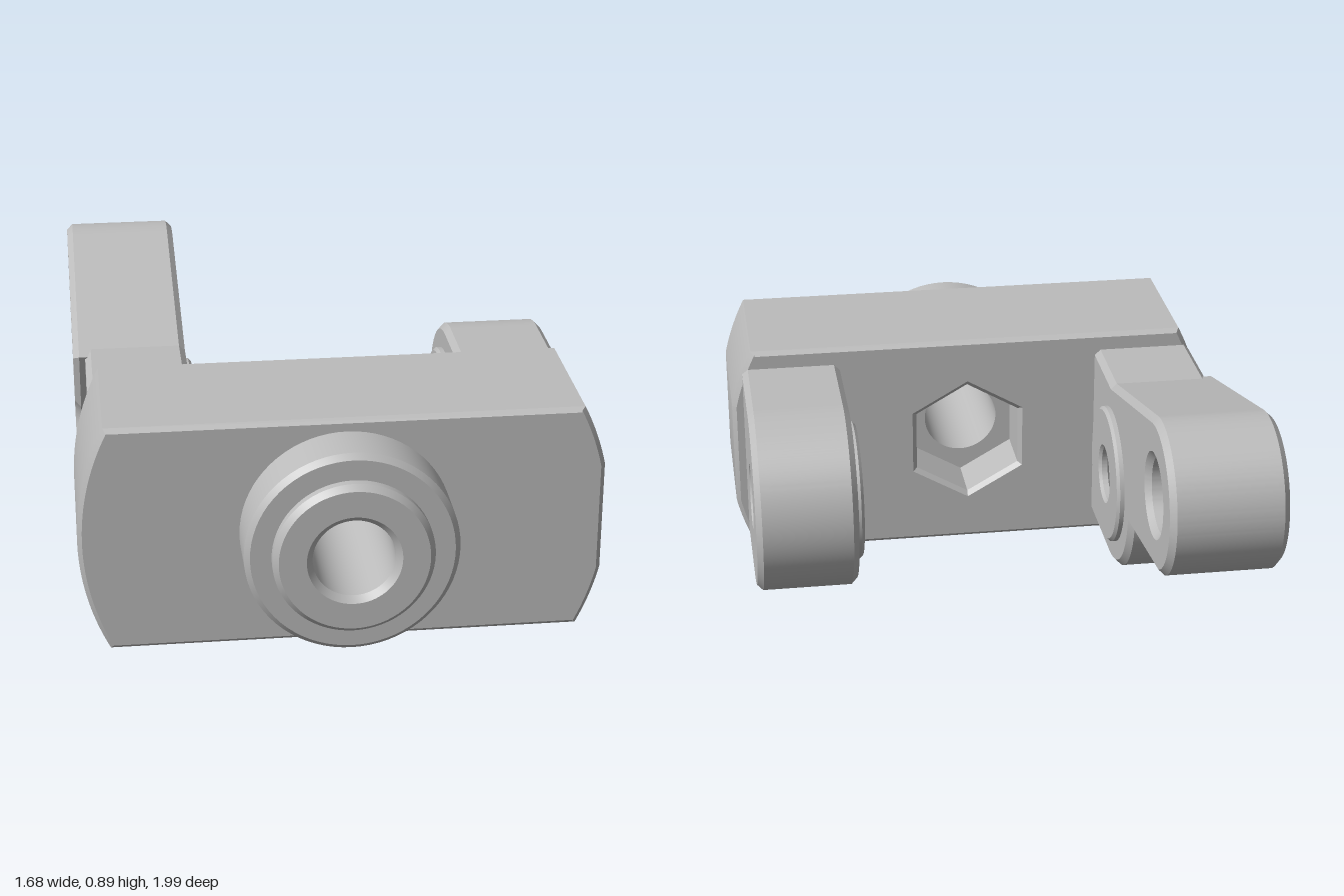
import * as THREE from 'three';
import { toCreasedNormals } from 'three/addons/utils/BufferGeometryUtils.js';

const CY = 0.39;        // height of the bore and pivot axis
const PIVOT = 0.07;     // pivot distance behind the origin
const CREASE = 0.45;

const metal = new THREE.MeshStandardMaterial({ color: 0xbcbcbc });
metal.name = 'grey metal';

function addMesh(parent, name, geometry) {
  const mesh = new THREE.Mesh(toCreasedNormals(geometry, CREASE), metal);
  mesh.name = name;
  parent.add(mesh);
  return mesh;
}

// Chamfered plate between two depths; the shape is the full outline
function slab(shape, from, to, bevel) {
  const geometry = new THREE.ExtrudeGeometry(shape, {
    depth: to - from - 2 * bevel, bevelEnabled: true, bevelThickness: bevel,
    bevelSize: bevel, bevelOffset: -bevel, bevelSegments: 1, curveSegments: 48,
  });
  return geometry.translate(0, 0, from + bevel);
}

// Plate drawn in (distance to the rear, height) and extruded along x
const sideSlab = (shape, from, to, bevel) => slab(shape, from, to, bevel).rotateY(Math.PI / 2);

const circle = (x, y, r) => new THREE.Path().absarc(x, y, r, 0, Math.PI * 2, true);

// Lug with a rounded end and pivot hole
function lugShape() {
  const s = new THREE.Shape();
  s.moveTo(-0.3, CY - 0.32);
  s.lineTo(PIVOT, CY - 0.32);
  s.absarc(PIVOT, CY, 0.32, -Math.PI / 2, Math.PI / 2, false);
  s.lineTo(-0.3, CY + 0.32);
  s.closePath();
  s.holes.push(circle(PIVOT, CY, 0.09));
  return s;
}

// Tapered lever, cut by a slanted step that runs around the pivot hole
function leverShape() {
  const endU = 0.74, endY = 0.64, r1 = 0.32, r2 = 0.255;
  const du = endU - PIVOT, dy = endY - CY;
  const tilt = Math.atan2(dy, du);
  const taper = Math.asin((r1 - r2) / Math.hypot(du, dy));
  const top = tilt + Math.PI / 2 - taper, bottom = tilt - Math.PI / 2 + taper;
  const notch = Math.acos(r1 * Math.sin(taper) / 0.09);
  const s = new THREE.Shape();
  s.moveTo(PIVOT + r1 * Math.cos(bottom), CY + r1 * Math.sin(bottom));
  s.absarc(endU, endY, r2, bottom, top, false);
  s.lineTo(PIVOT + r1 * Math.cos(top), CY + r1 * Math.sin(top));
  s.absarc(PIVOT, CY, 0.09, tilt + notch, tilt - notch, true);
  s.closePath();
  s.holes.push(circle(endU, endY, 0.122));
  return s;
}

function padShape() {
  const s = new THREE.Shape();
  s.absarc(PIVOT, CY, 0.235, 0, Math.PI * 2, false);
  s.holes.push(circle(PIVOT, CY, 0.092));
  return s;
}

// Block with arc-shaped ends, a flat on one end and a hexagonal pocket
function bodyShape() {
  const R = 0.85, cx = 0.01, cy = 0.386;
  const corner = Math.asin(cy / R), flat = Math.acos((0.84 - cx) / R);
  const s = new THREE.Shape();
  s.absarc(cx, cy, R, -corner, -flat, false);
  s.absarc(cx, cy, R, flat, corner, false);
  s.absarc(cx, cy, R, Math.PI - corner, Math.PI + corner, false);
  s.closePath();
  const hex = [];
  for (let i = 0; i < 6; i++) {
    const a = Math.PI / 2 - i * Math.PI / 3;
    hex.push(new THREE.Vector2(cx + 0.21 * Math.cos(a), CY + 0.21 * Math.sin(a)));
  }
  s.holes.push(new THREE.Path(hex));
  return s;
}

export function createModel() {
  const model = new THREE.Group();
  model.name = 'pivotBracket';

  addMesh(model, 'body', slab(bodyShape(), 0.27, 0.78, 0.015));

  // Stepped boss with its bore and the seat inside the pocket
  const profile = [
    [0.34, 0.7], [0.34, 0.937], [0.322, 0.955], [0.255, 0.955], [0.255, 0.98], [0.237, 1],
    [0.15, 1], [0.13, 0.98], [0.13, 0.47], [0.215, 0.47],
  ].map(([r, z]) => new THREE.Vector2(r, z));
  const boss = new THREE.LatheGeometry(profile, 72).rotateX(Math.PI / 2);
  addMesh(model, 'boss', boss).position.set(0.01, CY, 0);

  // Short arm
  const shortArm = new THREE.Group();
  shortArm.name = 'shortArm';
  addMesh(shortArm, 'shortLug', sideSlab(lugShape(), 0.46, 0.8, 0.02));
  addMesh(shortArm, 'shortArmPad', sideSlab(padShape(), 0.435, 0.475, 0.01));
  model.add(shortArm);

  // Long arm: recessed base lug and full-width lever
  const longArm = new THREE.Group();
  longArm.name = 'longArm';
  addMesh(longArm, 'longArmBase', sideSlab(lugShape(), -0.785, -0.445, 0.02));
  addMesh(longArm, 'lever', sideSlab(leverShape(), -0.825, -0.445, 0.02));
  addMesh(longArm, 'longArmPad', sideSlab(padShape(), -0.46, -0.42, 0.01));
  model.add(longArm);

  return model;
}
